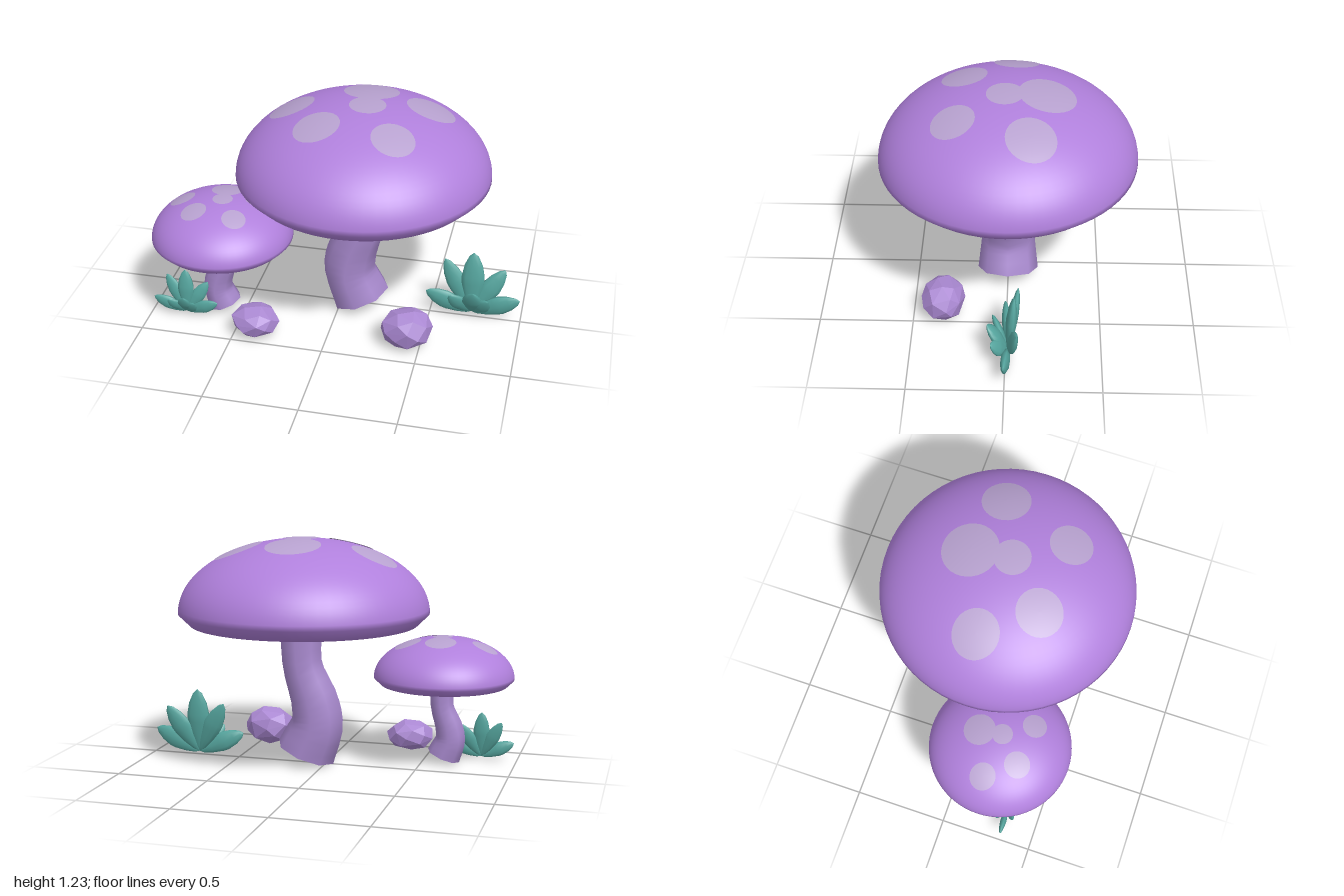
import * as THREE from 'three';
import { ConvexGeometry } from 'three/addons/geometries/ConvexGeometry.js';

const mat = (name, color) => {
  const m = new THREE.MeshStandardMaterial({ color });
  m.name = name;
  return m;
};

// Cap dome: half an ellipse standing on the rim
const CAP_R = 0.675, RIM_Y = 0.825, DOME_H = 0.395;
const domeY = (r) => RIM_Y + DOME_H * Math.sqrt(Math.max(0, 1 - (r / CAP_R) ** 2));

function capGeometry() {
  const pts = [[0.137, 0.763], [0.615, 0.766]].map((p) => new THREE.Vector2(...p));
  for (let i = 0; i <= 22; i++) {
    const a = (i / 22) * Math.PI / 2;
    pts.push(new THREE.Vector2(i === 22 ? 0 : CAP_R * Math.cos(a), RIM_Y + DOME_H * Math.sin(a)));
  }
  return new THREE.LatheGeometry(pts, 64);
}

// Spot: a round sheet draped over the dome
function spotGeometry(x, z, r) {
  const g = new THREE.RingGeometry(0.0001, r, 32, 6).rotateX(-Math.PI / 2).translate(x, 0, z);
  const p = g.attributes.position;
  for (let i = 0; i < p.count; i++) p.setY(i, domeY(Math.hypot(p.getX(i), p.getZ(i))) + 0.004);
  g.computeVertexNormals();
  return g;
}

// Stem: a cylinder bent along a curve; each point is x, y, radius
function stemGeometry() {
  const path = new THREE.CatmullRomCurve3([
    [-0.01, 0.05, 0.165], [-0.072, 0.21, 0.146], [-0.06, 0.33, 0.136],
    [0.01, 0.53, 0.113], [0.017, 0.74, 0.117], [0.017, 0.86, 0.117],
  ].map((p) => new THREE.Vector3(...p)));
  const g = new THREE.CylinderGeometry(1, 1, 1, 8, 16);
  const p = g.attributes.position, n = g.attributes.normal;
  for (let i = 0; i < p.count; i++) {
    const t = THREE.MathUtils.clamp(p.getY(i) + 0.5, 0, 1);
    const c = path.getPoint(t), d = path.getTangent(t).setZ(0).normalize();
    const px = p.getX(i) * c.z, nx = n.getX(i), ny = n.getY(i);
    p.setXYZ(i, c.x + px * d.y, c.y - px * d.x, p.getZ(i) * c.z);
    n.setXYZ(i, nx * d.y + ny * d.x, -nx * d.x + ny * d.y, n.getZ(i));
  }
  return g;
}

// Rock: hull of unevenly spread points, flattened underneath
function rockGeometry(rx, ry, rz, seed) {
  let s = seed;
  const rnd = () => (s = (s * 16807) % 2147483647) / 2147483647;
  const pts = [];
  for (let i = 0; i < 30; i++) {
    const y = 1 - (2 * (i + 0.5)) / 30, r = Math.sqrt(1 - y * y);
    const a = i * 2.39996 + rnd() * 0.35, k = 0.96 + rnd() * 0.08;
    pts.push(new THREE.Vector3(Math.cos(a) * r * k * rx, Math.max(y * k, -0.88) * ry, Math.sin(a) * r * k * rz));
  }
  return new ConvexGeometry(pts);
}

// Leaf: a pointed spindle, flattened and aimed at its tip
function leafGeometry(tip, width) {
  const profile = [[0, 0], [0.35, 0.08], [0.72, 0.27], [0.97, 0.48], [1, 0.6], [0.8, 0.78], [0.42, 0.93], [0, 1]];
  const g = new THREE.LatheGeometry(profile.map(([r, y]) => new THREE.Vector2(r, y)), 10);
  const t = new THREE.Vector3(...tip), len = t.length(), d = t.normalize();
  const thin = new THREE.Vector3(0, 0, 1).addScaledVector(d, -d.z).normalize();
  const wide = new THREE.Vector3().crossVectors(d, thin);
  g.scale(width / 2, len, width / 4.5);
  return g.applyMatrix4(new THREE.Matrix4().makeBasis(wide, d, thin));
}

export function createModel() {
  const model = new THREE.Group();
  model.name = 'mushroomPatch';
  const capMat = mat('cap purple', 0xb080dc);
  capMat.side = THREE.DoubleSide;
  const stemMat = mat('stem lilac', 0xaa8bd0);
  const spotMat = mat('spot pale lilac', 0xb8a2d0);
  spotMat.side = THREE.DoubleSide;
  const leafMat = mat('leaf teal', 0x55a59e);
  const rockMat = mat('rock lilac', 0xaa88d2);

  const add = (parent, name, geometry, material) => {
    const m = new THREE.Mesh(geometry, material);
    m.name = name;
    parent.add(m);
    return m;
  };
  const group = (name, pos, scale) => {
    const g = new THREE.Group();
    g.name = name;
    g.position.set(...pos);
    g.scale.setScalar(scale);
    model.add(g);
    return g;
  };

  // Mushrooms: the small one repeats the large one
  const spots = [
    [0, -0.2, 0.148], [0.02, 0.015, 0.096], [0.33, -0.12, 0.128],
    [-0.395, -0.037, 0.12], [-0.2, 0.23, 0.12], [0.2, 0.27, 0.112],
  ];
  const cap = capGeometry(), stem = stemGeometry();
  const spotGeos = spots.map((s) => spotGeometry(...s));
  for (const [name, pos, scale] of [
    ['largeMushroom', [0.12, 0, 0], 1],
    ['smallMushroom', [-0.61, 0, 0.205], 0.563],
  ]) {
    const g = group(name, pos, scale);
    add(g, 'cap', cap, capMat);
    add(g, 'stem', stem, stemMat);
    spotGeos.forEach((s) => add(g, 'spot', s, spotMat));
  }

  // Rocks
  add(model, 'largeRock', rockGeometry(0.142, 0.112, 0.12, 11), rockMat).position.set(0.43, 0.1, 0.34);
  add(model, 'smallRock', rockGeometry(0.132, 0.088, 0.115, 29), rockMat).position.set(-0.385, 0.08, 0.41);

  // Leaf tufts: tip offset and width of each leaf
  const leaves = [
    [[-0.005, 0.36, -0.03], 0.13], [[-0.165, 0.29, -0.05], 0.11], [[0.17, 0.26, -0.045], 0.11],
    [[0.262, 0.115, 0.02], 0.11], [[-0.255, 0.115, 0.02], 0.11],
    [[0.01, 0.185, 0.11], 0.11], [[-0.12, 0.14, 0.085], 0.09], [[0.1, 0.13, 0.09], 0.09],
  ];
  const leafGeos = leaves.map((l) => leafGeometry(...l));
  for (const [name, pos, scale] of [
    ['largeLeafTuft', [0.73, 0.012, -0.015], 1],
    ['smallLeafTuft', [-0.805, 0.01, 0.315], 0.7],
  ]) {
    const g = group(name, pos, scale);
    leafGeos.forEach((l) => add(g, 'leaf', l, leafMat));
  }
  return model;
}
